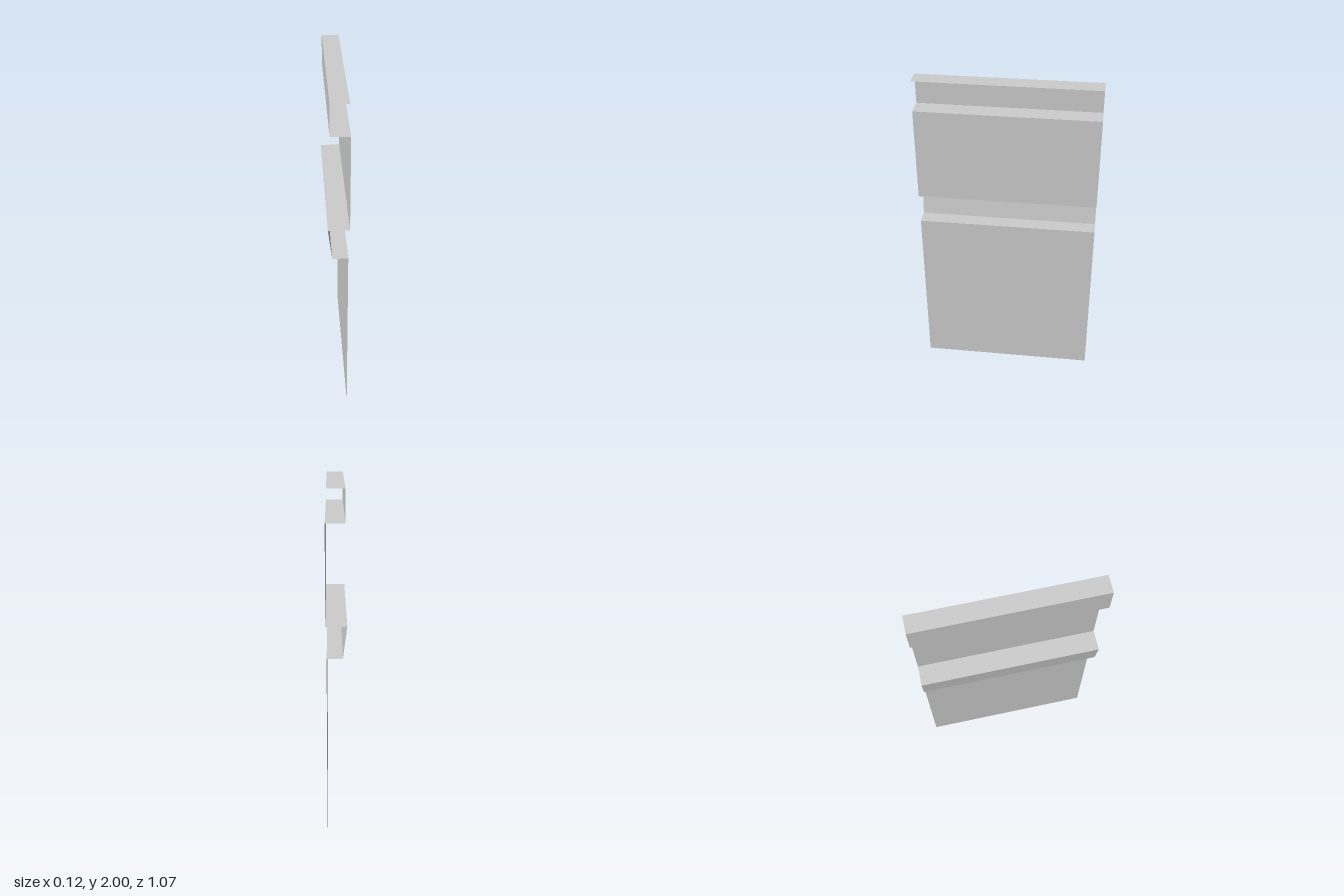
import * as THREE from 'three';

const HALF_LENGTH = 0.533; // half the run of the sheet along z

// Folds of the sheet's cross-section (x, y), from the top lip to the bottom edge
const folds = [
  [0.054, 2.0], [-0.049, 2.0], [-0.049, 1.82], [0.061, 1.82],
  [0.061, 1.255], [-0.061, 1.255], [-0.037, 1.07], [0.053, 1.07], [0.053, 0],
];

// One name for each strip between neighbouring folds
const names = [
  'topFlange', 'upperGrooveBack', 'upperGrooveLedge', 'upperPanel',
  'lowerGrooveSoffit', 'lowerGrooveBack', 'lowerGrooveLedge', 'lowerPanel',
];

// A flat strip spanning the full length between two folds
function strip([x0, y0], [x1, y1]) {
  const h = HALF_LENGTH;
  const geometry = new THREE.BufferGeometry();
  geometry.setAttribute('position', new THREE.Float32BufferAttribute(
    [x0, y0, h, x1, y1, h, x1, y1, -h, x0, y0, -h], 3));
  geometry.setIndex([0, 1, 2, 0, 2, 3]);
  geometry.computeVertexNormals();
  return geometry;
}

export function createModel() {
  const group = new THREE.Group();
  group.name = 'foldedSheetPanel';
  const material = new THREE.MeshStandardMaterial({ color: 0xcccccc, side: THREE.DoubleSide });
  names.forEach((name, i) => {
    const mesh = new THREE.Mesh(strip(folds[i], folds[i + 1]), material);
    mesh.name = name;
    group.add(mesh);
  });
  return group;
}
